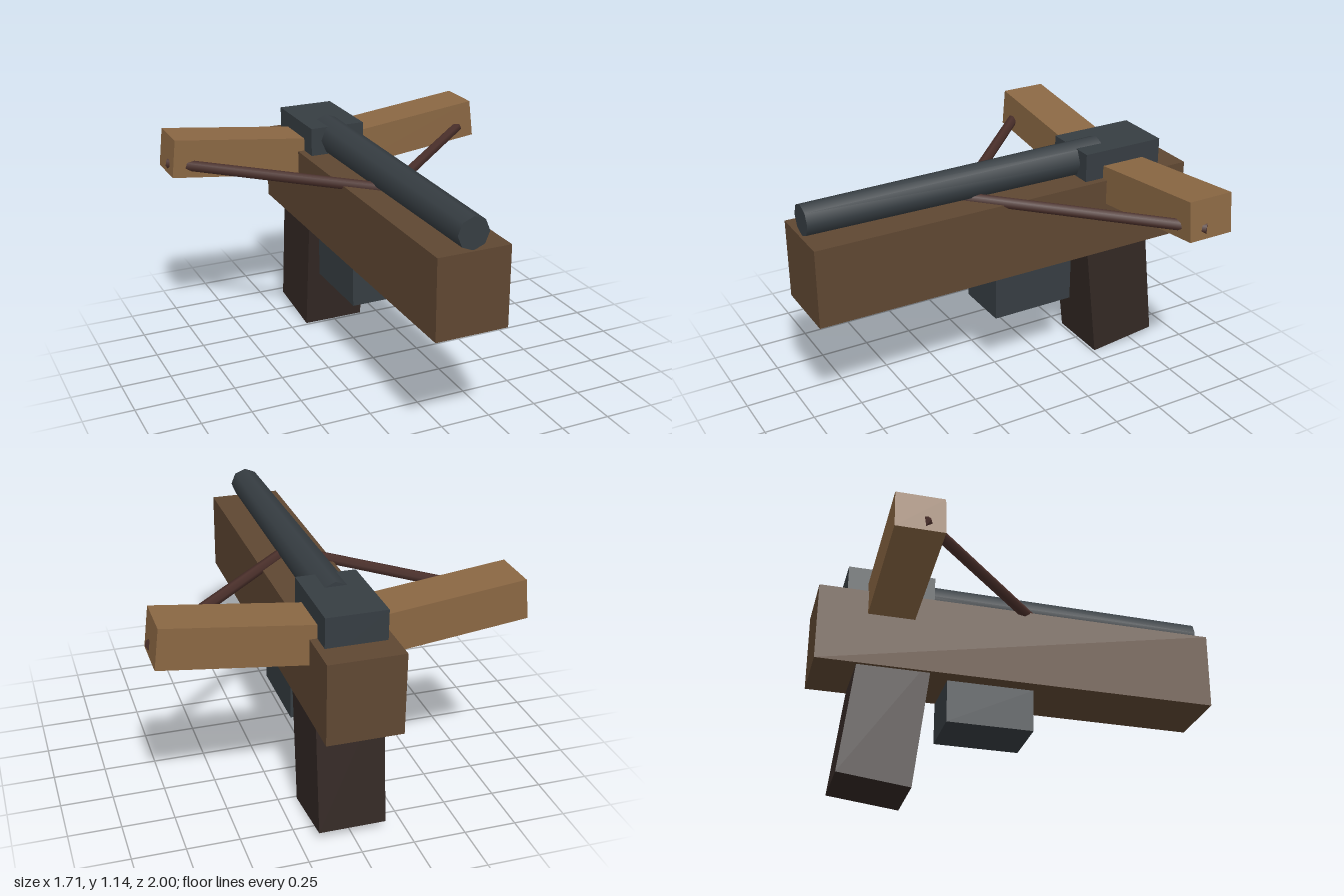
import * as THREE from 'three';

export function createModel() {
  const model = new THREE.Group();
  model.name = 'crossbow';

  const material = (color) => new THREE.MeshStandardMaterial({ color });
  const stockWood = material(0x5f4732);
  const limbWood = material(0x8a6743);
  const gripWood = material(0x332824);
  const metal = material(0x363d42);
  const cord = material(0x4b302b);

  const add = (name, geometry, mat, x, y, z) => {
    const mesh = new THREE.Mesh(geometry, mat);
    mesh.name = name;
    mesh.position.set(x, y, z);
    model.add(mesh);
    return mesh;
  };
  const box = (name, size, mat, x, y, z) => add(name, new THREE.BoxGeometry(...size), mat, x, y, z);

  // Body
  box('stock', [0.355, 0.39, 2], stockWood, 0, 0.79, 0);
  box('grip', [0.32, 0.68, 0.353], gripWood, 0, 0.3625, -0.65).rotation.x = 0.118;
  box('magazine', [0.285, 0.215, 0.43], metal, 0, 0.4675, -0.142);
  box('receiver', [0.285, 0.215, 0.43], metal, 0, 1.02, -0.645);

  // Eight-sided barrel, narrowing towards the front
  add('barrel', new THREE.CylinderGeometry(0.077, 0.09, 1.56, 8), metal, 0, 1.059, 0.205).rotation.x = Math.PI / 2;

  // Limbs and strings, mirrored
  const tilt = 0.118, length = 0.74;
  for (const side of [1, -1]) {
    const label = side > 0 ? 'left' : 'right';
    const x = 0.834 - Math.cos(tilt) * length / 2;
    const y = 1.035 - Math.sin(tilt) * length / 2;
    box(label + 'Limb', [length, 0.192, 0.23], limbWood, side * x, y, -0.645).rotation.z = side * tilt;

    // String from under the barrel to the limb tip
    const start = new THREE.Vector3(0, 0.988, 0.185);
    const end = new THREE.Vector3(side * 0.838, 0.988, -0.625);
    const span = end.clone().sub(start);
    const middle = start.clone().add(end).multiplyScalar(0.5);
    const string = add(label + 'String', new THREE.CylinderGeometry(0.027, 0.027, span.length(), 6), cord, ...middle.toArray());
    string.quaternion.setFromUnitVectors(new THREE.Vector3(0, 1, 0), span.normalize());
  }

  return model;
}
